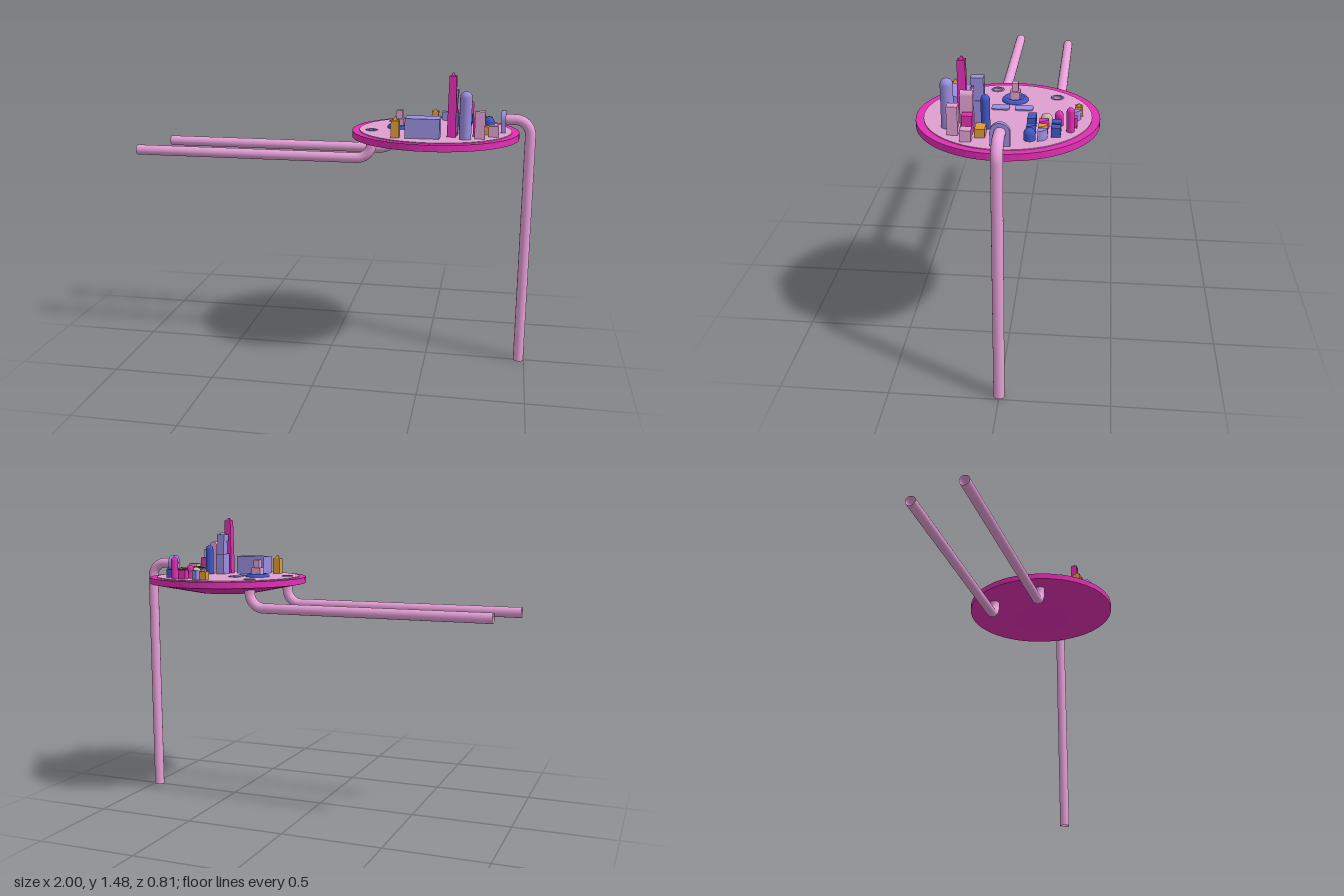
import * as THREE from 'three';

const C = { pipe: 0xe6a0d8, floor: 0xdf9fd0, pink: 0xe0a0d0, magenta: 0xe22fb4, gold: 0xdc9a35,
  lavender: 0x9b8fe0, blue: 0x4058c4, beige: 0xcdb5a5 };
const FLOOR = 1.178;
const CENTRE = 0.516;

export function createModel() {
  const model = new THREE.Group();
  const mats = {};
  const mat = (name) => (mats[name] ??= new THREE.MeshStandardMaterial({ color: C[name] }));

  const add = (name, geo, material, x = 0, y = 0, z = 0) => {
    const mesh = new THREE.Mesh(geo, material);
    mesh.name = name;
    mesh.position.set(x, y, z);
    model.add(mesh);
    return mesh;
  };

  // Box standing on height y0 and reaching y1
  const box = (name, color, x, z, w, d, y1, y0 = FLOOR) =>
    add(name, new THREE.BoxGeometry(w, y1 - y0, d), mat(color), x, (y0 + y1) / 2, z);

  // Round tower with a domed top
  const dome = (name, color, x, z, r, top) => {
    const pts = [new THREE.Vector2(r, 0)];
    for (let i = 0; i <= 8; i++) {
      const a = (i / 8) * Math.PI / 2;
      pts.push(new THREE.Vector2(r * Math.cos(a), Math.max(0, top - FLOOR - r) + r * Math.sin(a)));
    }
    add(name, new THREE.LatheGeometry(pts, 20), mat(color), x, FLOOR, z);
  };

  // Extrude a ground-plan shape upwards
  const upright = (shape, depth) =>
    new THREE.ExtrudeGeometry(shape, { depth, bevelEnabled: false, curveSegments: 32 }).rotateX(-Math.PI / 2);

  // Quarter-round block, curved towards the back left
  const quarter = (name, color, x, z, s, top) => {
    const shape = new THREE.Shape();
    shape.moveTo(0, 0);
    shape.lineTo(s, 0);
    shape.absarc(0, 0, s, 0, Math.PI / 2, false);
    shape.closePath();
    add(name, upright(shape, top - FLOOR), mat(color), x - s / 2, FLOOR, z + s / 2);
  };

  // Square tower with a smaller pointed cap
  const cappedTower = (name, color, x, z, w0, w1, top, tip) => {
    const body = new THREE.CylinderGeometry(w1 / Math.SQRT2, w0 / Math.SQRT2, top - FLOOR, 4).rotateY(Math.PI / 4);
    const cap = new THREE.CylinderGeometry(0.004, w1 * 0.45, tip - top, 4).rotateY(Math.PI / 4);
    const flat = new THREE.MeshStandardMaterial({ color: C[color], flatShading: true });
    add(name, body, flat, x, (FLOOR + top) / 2, z);
    add(name + 'Cap', cap, flat, x, (top + tip) / 2, z);
  };

  // Dish-shaped base with a bright rim
  const profile = [[0, 1.095], [0.16, 1.095], [0.405, 1.143], [0.405, 1.174], [0.365, 1.174]];
  add('base', new THREE.LatheGeometry(profile.map(([r, y]) => new THREE.Vector2(r, y)), 56),
    new THREE.MeshStandardMaterial({ color: C.magenta, flatShading: true }), CENTRE);

  // Floor with two drain holes
  const drains = [{ x: 0.214, z: 0.078, end: -1 }, { x: 0.294, z: -0.206, end: -0.92 }];
  const plan = new THREE.Shape().absarc(0, 0, 0.37, 0, Math.PI * 2, false);
  for (const d of drains) {
    plan.holes.push(new THREE.Path().absarc(d.x - CENTRE, -d.z, 0.024, 0, Math.PI * 2, true));
  }
  add('floor', upright(plan, 0.012), mat('floor'), CENTRE, FLOOR - 0.012);

  // Open pipes: a straight run, a quarter bend and a second straight run
  const pipeMat = new THREE.MeshStandardMaterial({ color: C.pipe, side: THREE.DoubleSide });
  const pipe = (name, start, corner, end, bend) => {
    const [a, c, b] = [start, corner, end].map((p) => new THREE.Vector3(...p));
    const toward = (p, k) => c.clone().addScaledVector(p.clone().sub(c).normalize(), bend * k);
    const path = new THREE.CurvePath();
    path.add(new THREE.LineCurve3(a, toward(a, 1)));
    path.add(new THREE.CubicBezierCurve3(toward(a, 1), toward(a, 0.45), toward(b, 0.45), toward(b, 1)));
    path.add(new THREE.LineCurve3(toward(b, 1), b));
    add(name, new THREE.TubeGeometry(path, 120, 0.0255, 20), pipeMat);
  };
  for (const d of drains) {
    pipe('drainPipe', [d.end, 1.037, d.z], [d.x, 1.037, d.z], [d.x, FLOOR, d.z], 0.075);
    add('drainRim', new THREE.TorusGeometry(0.026, 0.004, 8, 28).rotateX(Math.PI / 2), mat('lavender'), d.x, FLOOR, d.z);
  }
  pipe('supplyPipe', [0.842, 1.237, 0], [0.973, 1.237, 0], [0.973, 0, 0], 0.075);

  // Arched gate around the mouth of the supply pipe
  const arch = new THREE.Shape();
  arch.moveTo(-0.042, FLOOR);
  arch.lineTo(0.042, FLOOR);
  arch.absarc(0, 1.237, 0.042, 0, Math.PI, false);
  arch.closePath();
  arch.holes.push(new THREE.Path().absarc(0, 1.237, 0.025, 0, Math.PI * 2, true));
  add('gate', new THREE.ExtrudeGeometry(arch, { depth: 0.022, bevelEnabled: false, curveSegments: 20 })
    .rotateY(Math.PI / 2), mat('lavender'), 0.832);

  // Fountain: round basin with a stepped column
  const basin = [[0.06, 0], [0.06, 0.008], [0.052, 0.016], [0.04, 0.016], [0.034, 0.006], [0, 0.006]];
  add('fountainBasin', new THREE.LatheGeometry(basin.map(([r, y]) => new THREE.Vector2(r, y)), 32),
    mat('blue'), 0.34, FLOOR, -0.016);
  box('fountainColumn', 'pink', 0.34, -0.016, 0.046, 0.046, 1.225);
  box('fountainTop', 'pink', 0.34, -0.016, 0.03, 0.03, 1.265, 1.225);

  // Shallow rounded pools
  for (const z of [-0.065, 0.04]) {
    const [w, h, r] = [0.0275, 0.04, 0.013];
    const pool = new THREE.Shape();
    [[1, 1], [-1, 1], [-1, -1], [1, -1]].forEach(([sx, sy], i) =>
      pool.absarc(sx * (w - r), sy * (h - r), r, i * Math.PI / 2, (i + 1) * Math.PI / 2, false));
    pool.closePath();
    add('pool', upright(pool, 0.006), mat('lavender'), 0.44, FLOOR, z);
  }

  // Front district
  cappedTower('goldTower', 'gold', 0.35, 0.257, 0.04, 0.037, 1.258, 1.275);
  box('hall', 'lavender', 0.476, 0.225, 0.16, 0.1, 1.27);
  cappedTower('spire', 'magenta', 0.607, 0.187, 0.042, 0.034, 1.46, 1.475);
  box('steppedTowerBase', 'lavender', 0.61, 0.115, 0.045, 0.068, 1.285);
  box('steppedTowerMiddle', 'lavender', 0.61, 0.113, 0.036, 0.045, 1.353, 1.285);
  box('steppedTowerTop', 'lavender', 0.61, 0.12, 0.042, 0.055, 1.388, 1.353);
  dome('tallDomeTower', 'lavender', 0.672, 0.243, 0.028, 1.398);
  dome('blueDomeTower', 'blue', 0.67, 0.08, 0.02, 1.33);
  box('vaultTower', 'pink', 0.674, 0.158, 0.04, 0.056, 1.328);
  add('vaultRoof', new THREE.CylinderGeometry(0.02, 0.02, 0.056, 20).rotateX(Math.PI / 2),
    mat('pink'), 0.674, 1.328, 0.158);
  box('house', 'magenta', 0.727, 0.15, 0.045, 0.046, 1.262);
  box('house', 'gold', 0.743, 0.093, 0.07, 0.043, 1.217);
  box('house', 'pink', 0.8, 0.147, 0.047, 0.047, 1.228);
  box('house', 'pink', 0.738, 0.21, 0.047, 0.047, 1.305);

  // Back district
  cappedTower('smallGoldTower', 'gold', 0.492, -0.31, 0.037, 0.035, 1.22, 1.232);
  box('house', 'magenta', 0.62, -0.29, 0.04, 0.036, 1.222);
  for (const x of [0.668, 0.724]) box('house', 'blue', x, -0.222, 0.042, 0.04, 1.22);
  box('house', 'blue', 0.628, -0.115, 0.065, 0.037, 1.225);
  dome('domeTower', 'magenta', 0.674, -0.28, 0.017, 1.285);
  dome('domeTower', 'magenta', 0.612, -0.23, 0.018, 1.244);
  dome('domeTower', 'beige', 0.61, -0.176, 0.026, 1.23);
  dome('domeTower', 'blue', 0.773, -0.115, 0.025, 1.23);
  for (const [color, x, z] of [['lavender', 0.55, -0.302], ['magenta', 0.668, -0.168],
    ['gold', 0.722, -0.168], ['lavender', 0.77, -0.168], ['blue', 0.722, -0.118]]) {
    quarter('quarterHouse', color, x, z, 0.039, 1.222);
  }

  return model;
}
